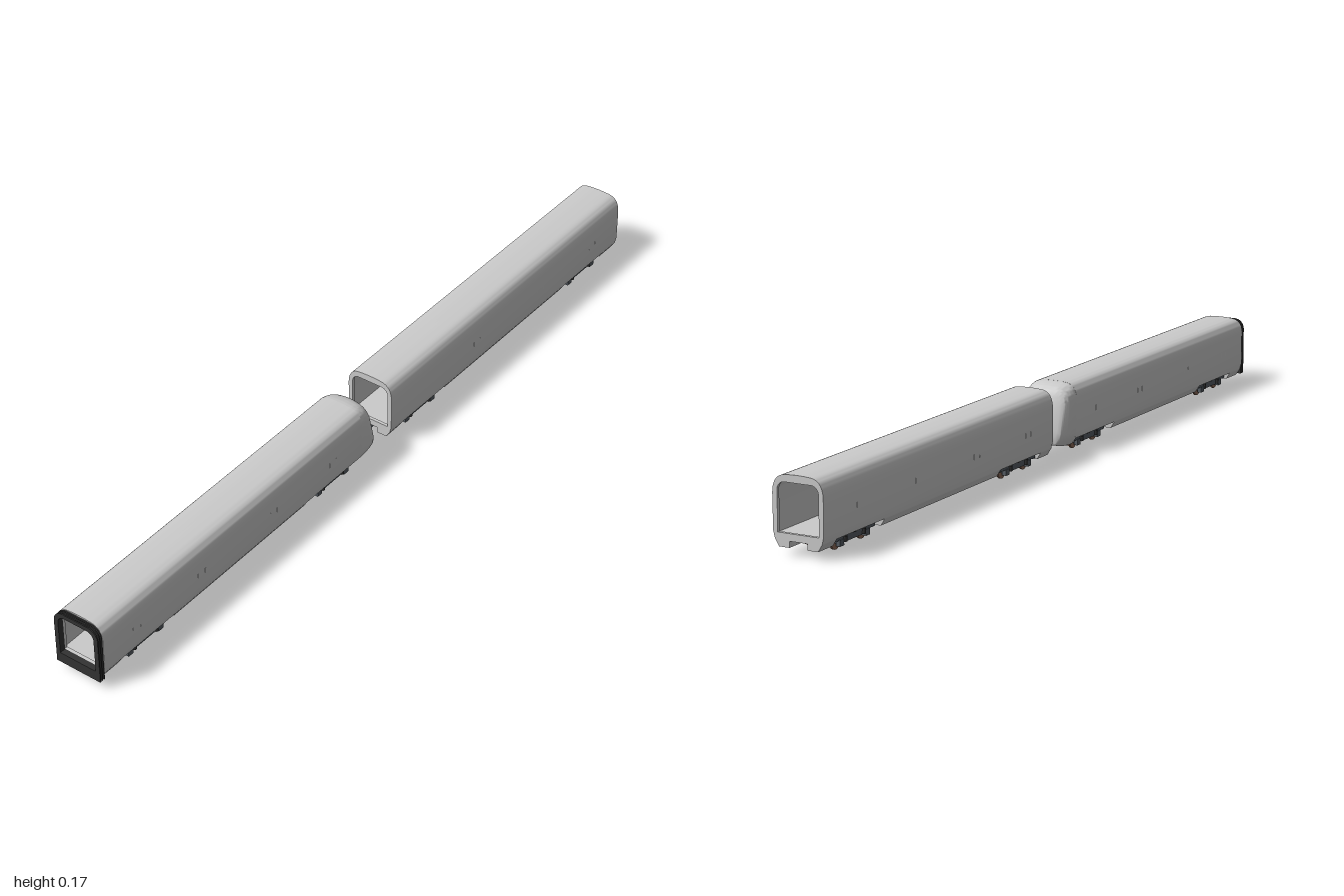
import * as THREE from 'three';
import { toCreasedNormals } from 'three/addons/utils/BufferGeometryUtils.js';

const grey = new THREE.MeshStandardMaterial({ color: 0xcccccc });
const rubber = new THREE.MeshStandardMaterial({ color: 0x333333 });
const steel = new THREE.MeshStandardMaterial({ color: 0x555c63 });
const rust = new THREE.MeshStandardMaterial({ color: 0x8a6a58 });

function add(parent, name, geo, mat = grey, x = 0, y = 0, z = 0) {
  const m = new THREE.Mesh(geo, mat);
  m.name = name;
  m.position.set(x, y, z);
  parent.add(m);
  return m;
}
const box = (parent, name, w, h, d, x, y, z, mat) =>
  add(parent, name, new THREE.BoxGeometry(w, h, d), mat, x, y, z);

// Extrude a cross-section (z, y) along the length from x0 to x1
function along(shape, x0, x1) {
  const g = new THREE.ExtrudeGeometry(shape, { depth: x1 - x0, bevelEnabled: false, curveSegments: 10 });
  g.rotateY(Math.PI / 2).translate(x0, 0, 0);
  return toCreasedNormals(g, 0.6);
}

// Outer body section; the raised floor version leaves room for the bogies
function section(top, full) {
  const s = new THREE.Shape();
  if (full) s.moveTo(0.047, 0.02).lineTo(0.057, 0.034);
  else s.moveTo(0.057, 0.034);
  s.lineTo(0.061, 0.05);
  s.lineTo(0.0615, 0.13);
  s.quadraticCurveTo(0.0605, top - 0.007, 0.035, top - 0.002);
  s.quadraticCurveTo(0, top + 0.002, -0.035, top - 0.002);
  s.quadraticCurveTo(-0.0605, top - 0.007, -0.0615, 0.13);
  s.lineTo(-0.061, 0.05);
  s.lineTo(-0.057, 0.034);
  if (full) s.lineTo(-0.047, 0.02);
  s.closePath();
  return s;
}

function opening(w, y0, y1, r) {
  const p = new THREE.Path();
  p.moveTo(-w, y0).lineTo(w, y0).lineTo(w, y1 - r);
  p.absarc(w - r, y1 - r, r, 0, Math.PI / 2);
  p.lineTo(-w + r, y1);
  p.absarc(-w + r, y1 - r, r, Math.PI / 2, Math.PI);
  p.closePath();
  return p;
}

// Lower skirt, optionally notched for the coupler
function skirt(notched) {
  const s = new THREE.Shape();
  s.moveTo(0.047, 0.018).lineTo(0.057, 0.034).lineTo(-0.057, 0.034).lineTo(-0.047, 0.018);
  if (notched) s.lineTo(-0.022, 0.018).lineTo(-0.022, 0.032).lineTo(0.022, 0.032).lineTo(0.022, 0.018);
  s.closePath();
  return s;
}

// Raked, slightly bowed surface of the cab front
const rake = new THREE.SplineCurve([[0.01, -0.02], [0.03, -0.009], [0.05, -0.009], [0.08, -0.015],
  [0.12, -0.026], [0.15, -0.038], [0.175, -0.055]].map(([y, x]) => new THREE.Vector2(y, x))).getPoints(60);
function faceX(y, z) {
  let i = 1;
  while (i < rake.length - 1 && rake[i].x < y) i++;
  const a = rake[i - 1], b = rake[i];
  return a.y + (b.y - a.y) * (y - a.x) / (b.x - a.x) - 4 * z * z;
}

// Nose: body section rounded over onto the cab front, then closed to its middle
function noseGeometry(x0, top) {
  const outline = section(top, true).getPoints(10);
  if (outline[0].distanceTo(outline[outline.length - 1]) < 1e-6) outline.pop();
  const n = outline.length, pos = [], idx = [], rings = [];
  for (let i = 0; i <= 10; i++) {
    const t = (i / 10) * Math.PI / 2;
    rings.push([1 - 0.17 * (1 - Math.cos(t)), Math.sin(t)]);
  }
  for (const s of [0.7, 0.5, 0.25, 0]) rings.push([s, 1]);
  for (const [s, f] of rings) {
    for (const p of outline) {
      const z = p.x * s, y = 0.08 + (p.y - 0.08) * s;
      pos.push(x0 + (faceX(y, z) - x0) * f, y, z);
    }
  }
  for (let i = 0; i < rings.length - 1; i++) {
    for (let j = 0; j < n; j++) {
      const a = i * n + j, b = i * n + (j + 1) % n;
      idx.push(a, a + n, b, b, a + n, b + n);
    }
  }
  const g = new THREE.BufferGeometry();
  g.setAttribute('position', new THREE.Float32BufferAttribute(pos, 3));
  g.setIndex(idx);
  return toCreasedNormals(g, 0.6);
}

// One half of the windscreen, laid on the cab front
function screenGeometry(side) {
  const g = new THREE.PlaneGeometry(1, 1, 8, 10), p = g.attributes.position;
  for (let i = 0; i < p.count; i++) {
    const v = p.getY(i) + 0.5, y = 0.062 + 0.078 * v;
    const w = 0.045 - 0.009 * v * v;
    const z = -side * 0.001 - (p.getX(i) + side * 0.5) * (w - 0.001);
    p.setXYZ(i, faceX(y, z) + 0.0012, y, z);
  }
  g.computeVertexNormals();
  return g;
}

function bogie(parent, x) {
  const g = new THREE.Group();
  g.name = 'bogie';
  g.position.x = x;
  parent.add(g);
  const wheel = new THREE.CylinderGeometry(0.0165, 0.0165, 0.005, 24).rotateX(Math.PI / 2);
  const axle = new THREE.CylinderGeometry(0.004, 0.004, 0.084, 10).rotateX(Math.PI / 2);
  const spring = new THREE.CylinderGeometry(0.005, 0.005, 0.012, 12);
  const bag = new THREE.CylinderGeometry(0.011, 0.011, 0.01, 16);
  box(g, 'bolster', 0.03, 0.01, 0.088, 0, 0.024, 0, steel);
  for (const sx of [-1, 1]) {
    add(g, 'axle', axle, steel, sx * 0.05, 0.0165, 0);
    box(g, 'motor', 0.026, 0.016, 0.036, sx * 0.025, 0.02, 0, steel);
    box(g, 'endBeam', 0.006, 0.007, 0.084, sx * 0.078, 0.024, 0, steel);
  }
  for (const sz of [-1, 1]) {
    box(g, 'sideFrame', 0.16, 0.007, 0.008, 0, 0.026, sz * 0.041, steel);
    box(g, 'frameDrop', 0.06, 0.008, 0.008, 0, 0.019, sz * 0.041, steel);
    add(g, 'airSpring', bag, rubber, 0, 0.033, sz * 0.037);
    for (const sx of [-1, 1]) {
      add(g, 'wheel', wheel, rust, sx * 0.05, 0.0165, sz * 0.029);
      box(g, 'axleBox', 0.016, 0.014, 0.01, sx * 0.05, 0.0165, sz * 0.042, steel);
      box(g, 'brakeBlock', 0.005, 0.012, 0.007, sx * 0.071, 0.016, sz * 0.03, rust);
      add(g, 'spring', spring, rubber, sx * 0.036, 0.022, sz * 0.045);
    }
  }
}

// Hollow body shell with an end frame, belly and bogies
function car(parent, name, top, x0, x1, frames, skirts, bogies) {
  const g = new THREE.Group();
  g.name = name;
  parent.add(g);
  const shell = section(top, false);
  shell.holes.push(opening(0.0565, 0.045, top - 0.006, 0.03));
  add(g, 'bodyShell', along(shell, x0, x1));
  const frame = section(top, false);
  frame.holes.push(opening(0.05, 0.048, 0.155, 0.018));
  for (const x of frames) add(g, 'endFrame', along(frame, x, x + 0.008));
  for (const [a, b, notched] of skirts) add(g, 'skirt', along(skirt(notched), a, b));
  for (const x of bogies) bogie(g, x);
  // door handles along both sides
  for (const f of [0.12, 0.36, 0.64, 0.88]) {
    for (const sx of [-1, 1]) for (const sz of [-1, 1]) {
      box(g, 'doorHandle', 0.002, 0.012, 0.001, x0 + (x1 - x0) * f + sx * 0.012, 0.09, sz * 0.0613);
    }
  }
  return g;
}

export function createModel() {
  const model = new THREE.Group();
  model.name = 'train';

  const cab = car(model, 'cabCar', 0.167, -0.985, -0.08, [-0.985],
    [[-0.985, -0.925, true], [-0.745, -0.28, false]], [-0.835, -0.17]);
  add(cab, 'nose', noseGeometry(-0.085, 0.167));
  for (const s of [-1, 1]) add(cab, 'windscreen', screenGeometry(s));
  const wall = new THREE.Shape(opening(0.058, 0.04, 0.163, 0.03).getPoints(8));
  add(cab, 'cabBulkhead', along(wall, -0.09, -0.085));

  // corrugated gangway on the tail of the cab car
  for (let i = 0; i < 5; i++) {
    const w = i % 2 ? 0.056 : 0.06;
    const ring = new THREE.Shape(opening(w, 0.022, 0.103 + w, 0.026).getPoints(8));
    ring.holes.push(opening(0.049, 0.048, 0.152, 0.018));
    add(cab, 'gangwayRing', along(ring, -1 + i * 0.003, -0.997 + i * 0.003), rubber);
  }

  car(model, 'passengerCar', 0.172, 0.035, 1, [0.035, 0.992],
    [[0.035, 0.085, true], [0.27, 0.76, false], [0.945, 1, true]], [0.17, 0.86]);

  // coupler between the cars
  const bar = new THREE.CylinderGeometry(0.004, 0.004, 0.075, 12).rotateZ(Math.PI / 2);
  add(model, 'couplerBar', bar, steel, 0.015, 0.024, 0);
  box(model, 'couplerHead', 0.014, 0.014, 0.02, -0.008, 0.024, 0, steel);
  return model;
}
